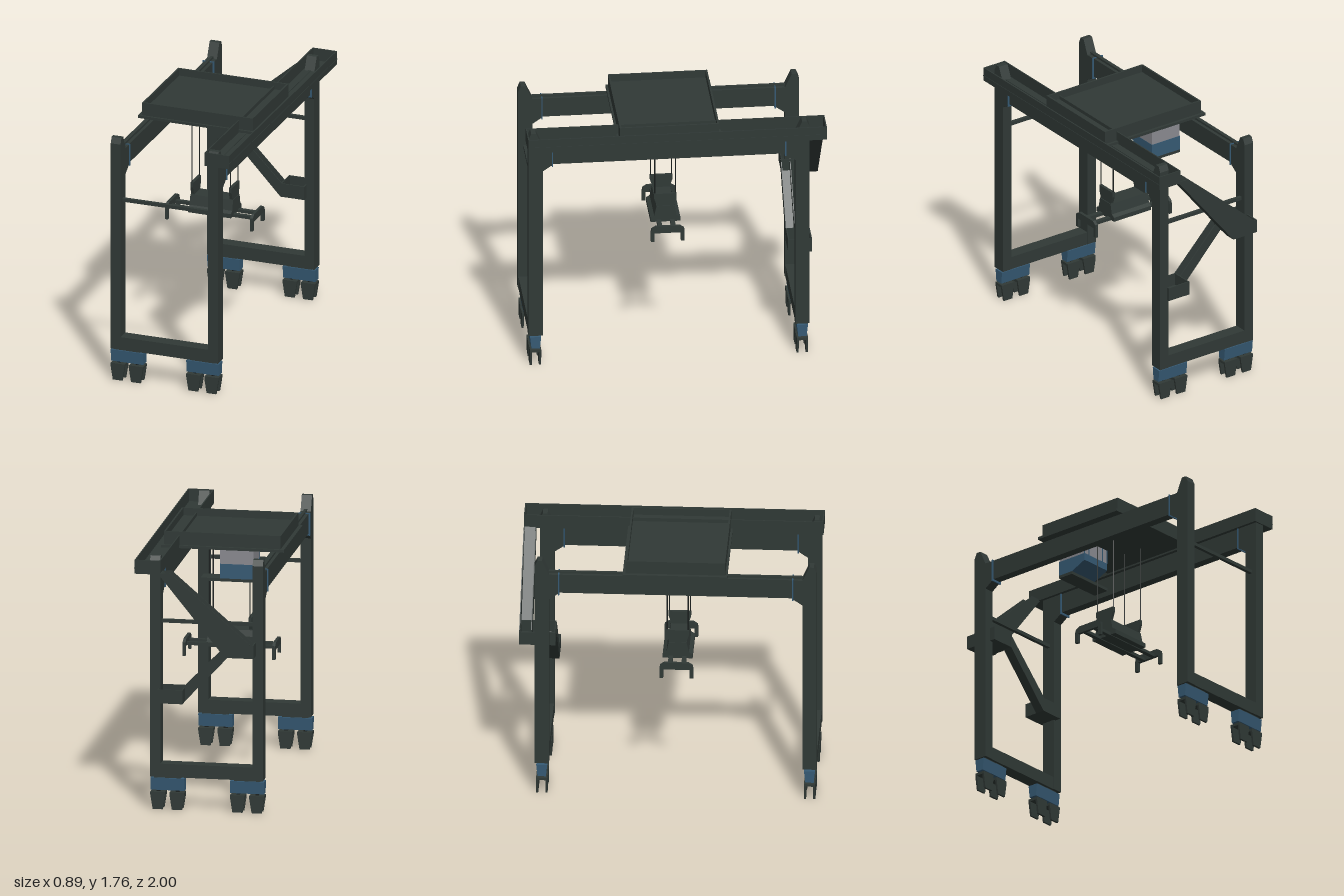
import * as THREE from 'three';

const mat = (name, color) => {
  const m = new THREE.MeshStandardMaterial({ color, flatShading: true });
  m.name = name;
  return m;
};

export function createModel() {
  const steel = mat('dark steel', 0x303936);
  const blue = mat('blue paint', 0x365a74);
  const glass = mat('grey glass', 0x8a8a90);
  const black = mat('rope black', 0x1a1f1e);
  const model = new THREE.Group();
  model.name = 'gantryCrane';

  const add = (name, geo, m, parent = model) => {
    const mesh = new THREE.Mesh(geo, m);
    mesh.name = name;
    parent.add(mesh);
    return mesh;
  };
  // box given by its limits on each axis
  const box = (name, m, x0, x1, y0, y1, z0, z1, parent) => add(name,
    new THREE.BoxGeometry(x1 - x0, y1 - y0, z1 - z0)
      .translate((x0 + x1) / 2, (y0 + y1) / 2, (z0 + z1) / 2), m, parent);
  const extrude = (pts, depth) => new THREE.ExtrudeGeometry(
    new THREE.Shape(pts.map(p => new THREE.Vector2(p[0], p[1]))), { depth, bevelEnabled: false });
  // (x, y) outline extruded along z
  const plateXY = (name, m, pts, z0, z1, parent) =>
    add(name, extrude(pts, z1 - z0).translate(0, 0, z0), m, parent);
  // (z, y) outline extruded along x
  const plateZY = (name, m, pts, x0, x1, parent) =>
    add(name, extrude(pts, x1 - x0).rotateY(-Math.PI / 2).translate(x1, 0, 0), m, parent);
  // open-topped tray: floor and four thin walls
  const tray = (name, x0, x1, y0, y1, z0, z1, floorTop, t = 0.008) => {
    const g = new THREE.Group();
    g.name = name;
    model.add(g);
    box('floor', steel, x0 + t, x1 - t, y0, floorTop, z0 + t, z1 - t, g);
    for (const [a, b] of [[x0, x0 + t], [x1 - t, x1]]) box('sideWall', steel, a, b, y0, y1, z0, z1, g);
    for (const [a, b] of [[z0, z0 + t], [z1 - t, z1]]) box('endWall', steel, x0 + t, x1 - t, y0, y1, a, b, g);
  };

  const sides = [[-0.41, -0.34], [0.285, 0.355]];
  const ends = [{ name: 'front', inn: 0.895, out: 0.99, s: 1 }, { name: 'back', inn: -0.797, out: -0.893, s: -1 }];

  // Portal frames: legs, sill beams and ties
  for (const { name, inn, out, s } of ends) {
    const c = (inn + out) / 2;
    for (const [x0, x1] of sides) {
      plateZY(name + 'Leg', steel, [[inn, 0.225], [out, 0.225], [out, 1.7], [out - 0.018 * s, 1.74],
        [out - 0.05 * s, 1.74], [inn, 1.64], [inn - 0.065 * s, 1.64], [inn - 0.065 * s, 1.5], [inn, 1.455]], x0, x1);
      const zp = inn - 0.065 * s;
      box('girderJoint', blue, x0 - 0.007, x1 + 0.007, 1.49, 1.645, zp - 0.004, zp + 0.004);
    }
    box(name + 'SillBeam', steel, -0.34, 0.285, 0.225, 0.315, c - 0.045, c + 0.045);
    box(name + 'Tie', steel, -0.34, 0.285, 1.277, 1.3, c - 0.012, c + 0.012);

    // Bogies with forked feet
    for (const [x0, x1] of [[-0.415, -0.185], [0.125, 0.355]]) {
      const g = new THREE.Group();
      g.name = name + 'Bogie';
      model.add(g);
      const m = (x0 + x1) / 2;
      box('pivot', steel, m - 0.09, m + 0.09, 0.21, 0.23, c - 0.028, c + 0.028, g);
      plateZY('bogieBody', blue, [[c - 0.028, 0.13], [c + 0.028, 0.13], [c + 0.037, 0.215], [c - 0.037, 0.215]], x0, x1, g);
      for (const fx of [x0 + 0.05, x1 - 0.05]) {
        const outline = [[fx - 0.034, 0], [fx + 0.034, 0], [fx + 0.05, 0.1], [fx + 0.05, 0.118], [fx - 0.05, 0.118], [fx - 0.05, 0.1]];
        for (const d of [-0.038, 0.024]) plateXY('forkPlate', steel, outline, c + d, c + d + 0.014, g);
        box('forkCrown', steel, fx - 0.05, fx + 0.05, 0.1, 0.118, c - 0.026, c + 0.026, g);
        box('forkPin', black, fx - 0.012, fx + 0.012, 0.116, 0.132, c - 0.012, c + 0.012, g);
      }
    }
  }

  // Main girders with the long walkway on the left side
  for (const [x0, x1] of sides) {
    box('girder', steel, x0 + 0.004, x1 - 0.004, 1.505, 1.64, -0.8, 0.9);
    box('rail', steel, x0 + 0.025, x1 - 0.025, 1.64, 1.655, -0.8, 0.9);
  }
  tray('walkway', 0.265, 0.44, 1.64, 1.735, -1, 1, 1.65);
  box('walkwayLedge', steel, 0.44, 0.443, 1.675, 1.68, -1, 1);

  // Trolley platform
  tray('trolleyPlatform', -0.42, 0.37, 1.66, 1.76, -0.285, 0.38, 1.71, 0.012);
  box('trolleyFlange', steel, -0.445, 0.386, 1.652, 1.67, -0.304, 0.394);
  box('trolleyMotor', steel, -0.315, -0.27, 1.615, 1.655, 0.1, 0.2);

  // Operator cabin: blue lower shell with a sloping nose, glazed above
  plateZY('cabinShell', blue, [[-0.295, 1.455], [-0.18, 1.455], [-0.07, 1.505], [-0.07, 1.555], [-0.295, 1.555]], -0.24, -0.01);
  box('cabinGlass', glass, -0.238, -0.012, 1.555, 1.655, -0.293, -0.072);
  for (const x of [-0.24, -0.195, -0.06, -0.015]) box('windowPost', blue, x, x + 0.005, 1.555, 1.655, -0.075, -0.069);
  box('cabinPlatform', steel, -0.24, 0.12, 1.435, 1.455, -0.295, -0.18);

  // Hoist ropes and sheave blocks
  for (const x of [-0.165, 0.11]) {
    for (const z of [0.12, -0.02])
      add('hoistRope', new THREE.CylinderGeometry(0.004, 0.004, 0.57, 6).translate(x, 1.385, z), black);
    plateZY('sheaveBlock', steel, [[-0.025, 1.125], [-0.025, 1.09], [-0.008, 1.04], [-0.012, 1.0],
      [0.112, 1.0], [0.108, 1.04], [0.125, 1.09], [0.125, 1.125]], x - 0.01, x + 0.01);
  }

  // Spreader: head, long beam and end frames with corner guides
  plateZY('spreaderHead', steel, [[-0.05, 0.92], [-0.05, 0.95], [-0.025, 0.965], [-0.01, 1.035],
    [0.11, 1.035], [0.125, 0.965], [0.15, 0.95], [0.15, 0.92]], -0.18, 0.125);
  for (const z of [-0.01, 0.08]) box('spreaderBeam', steel, -0.335, 0.28, 0.915, 0.936, z, z + 0.03);
  for (const [x0, x1] of [[-0.342, -0.322], [0.265, 0.285]]) {
    plateZY('spreaderEnd', steel, [[-0.06, 0.915], [-0.06, 0.945], [-0.03, 0.965], [0.13, 0.965], [0.16, 0.945], [0.16, 0.915]], x0, x1);
    for (const [z0, z1] of [[-0.063, -0.038], [0.138, 0.163]])
      box('cornerGuide', steel, x0, x1, 0.852, 0.93, z0, z1);
  }

  // Back stairs: side panels, sloping treads and landings
  const upper = [[-0.34, 1.09], [-0.34, 1.185], [0.2, 1.65], [0.285, 1.65], [-0.17, 1.09]];
  const lower = [[-0.2, 1.09], [-0.2, 1.18], [0.14, 0.83], [0.14, 0.735], [0.13, 0.735]];
  for (const [name, pts, z0, z1, tread] of [
    ['upperStair', upper, -1, -0.915, [[-0.18, 1.09], [-0.18, 1.11], [0.26, 1.65], [0.285, 1.65], [-0.17, 1.09]]],
    ['lowerStair', lower, -0.82, -0.755, [[-0.2, 1.09], [-0.19, 1.105], [0.135, 0.75], [0.13, 0.735]]],
  ]) {
    plateXY(name + 'Panel', steel, pts, z0, z0 + 0.006);
    plateXY(name + 'Panel', steel, pts, z1 - 0.006, z1);
    plateXY(name + 'Treads', steel, tread, z0 + 0.006, z1 - 0.006);
  }
  tray('upperLanding', -0.365, -0.185, 1.088, 1.18, -0.998, -0.757, 1.1);
  tray('lowerLanding', 0.13, 0.3, 0.735, 0.83, -0.915, -0.755, 0.747);

  return model;
}
